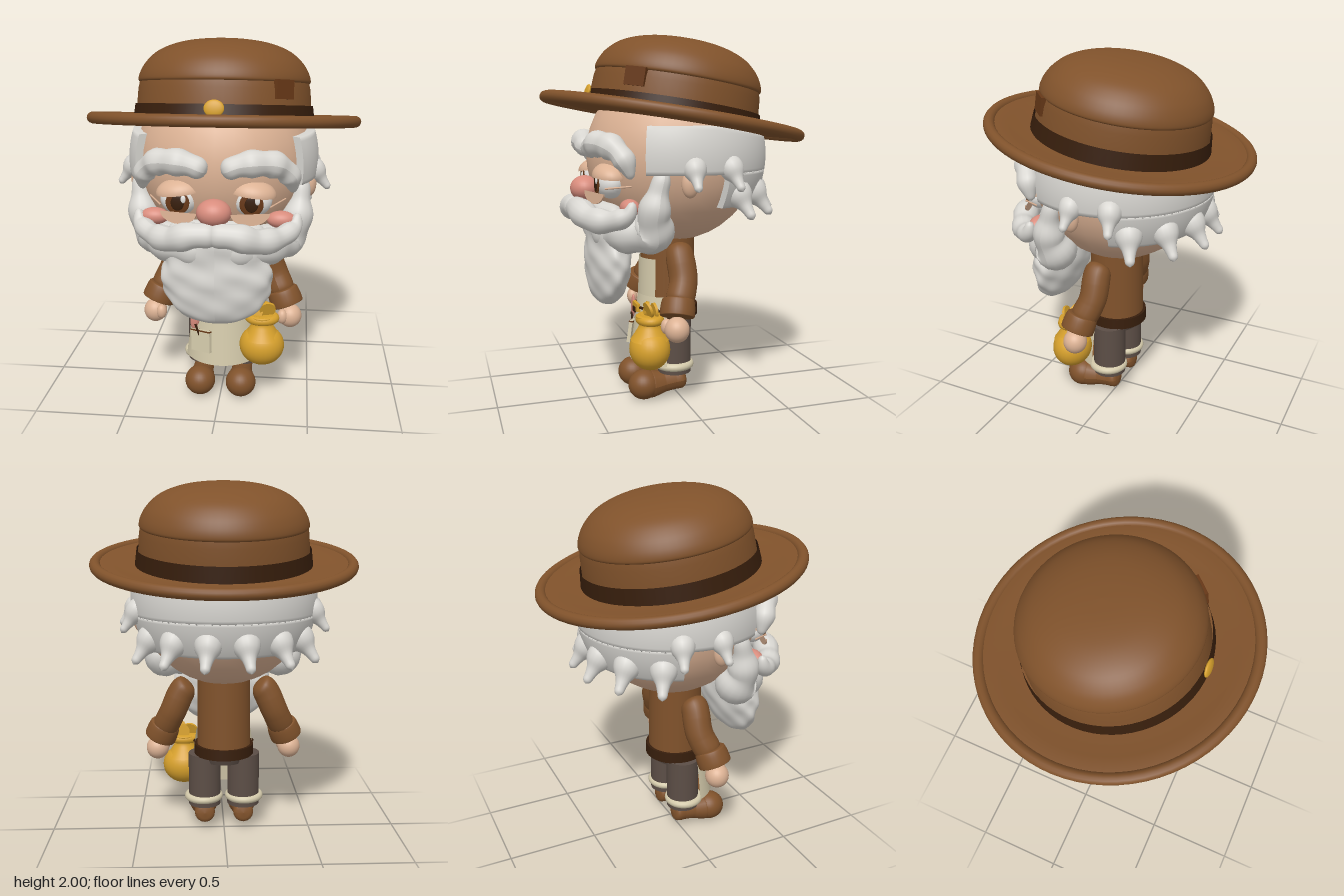
import * as THREE from 'three';

const mat = (name, color, side = THREE.FrontSide) => {
  const m = new THREE.MeshStandardMaterial({ color, side });
  m.name = name;
  return m;
};
const V = (x, y, z) => new THREE.Vector3(x, y, z);
const pts2 = (list) => list.map(([x, y]) => new THREE.Vector2(x, y));
const smooth2 = (list, n) => new THREE.SplineCurve(pts2(list)).getPoints(n);

export function createModel() {
  const brown = mat('leather brown', 0x80522b);
  const dark = mat('dark brown', 0x371e0c, THREE.DoubleSide);
  const skin = mat('skin', 0xdcb294);
  const hair = mat('hair white', 0xd8d6d1, THREE.DoubleSide);
  const pink = mat('blush pink', 0xd88c7d);
  const gold = mat('gold', 0xd6a02c);
  const cream = mat('apron cream', 0xd3c9aa, THREE.DoubleSide);
  const grey = mat('trouser grey', 0x5c4e46);
  const iris = mat('iris brown', 0x673817);
  const white = mat('eye white', 0xf0eeea);

  const root = new THREE.Group();
  const add = (name, geo, m, pos = [0, 0, 0], parent = root) => {
    const mesh = new THREE.Mesh(geo, m);
    mesh.name = name;
    mesh.position.set(...pos);
    parent.add(mesh);
    return mesh;
  };
  const ball = (name, m, pos, size, parent) => {
    const b = add(name, new THREE.SphereGeometry(1, 28, 20), m, pos, parent);
    b.scale.set(...size);
    return b;
  };
  // Tube whose radius follows a list, with rounded ends and soft lumps
  const lumpyTube = (points, radii, lumps = 0, amount = 0.1) => {
    const curve = new THREE.CatmullRomCurve3(points.map((p) => V(...p)));
    const N = 64, R = 16;
    const geo = new THREE.TubeGeometry(curve, N, 1, R);
    const pos = geo.attributes.position, v = V(0, 0, 0);
    for (let k = 0; k < pos.count; k++) {
      const t = Math.floor(k / (R + 1)) / N;
      const c = curve.getPointAt(t);
      const f = t * (radii.length - 1), i = Math.min(Math.floor(f), radii.length - 2);
      const end = Math.sqrt(Math.max(0, 1 - Math.pow(Math.abs(2 * t - 1), 10)));
      const r = THREE.MathUtils.lerp(radii[i], radii[i + 1], f - i) * end
        * (1 + amount * Math.sin(lumps * Math.PI * 2 * t));
      v.fromBufferAttribute(pos, k).sub(c).multiplyScalar(r).add(c);
      pos.setXYZ(k, v.x, v.y, v.z);
    }
    geo.computeVertexNormals();
    return geo;
  };

  // Hat, tipped back, with a slightly dished brim
  const hat = new THREE.Group();
  hat.name = 'hat';
  hat.position.set(0, 1.565, 0);
  hat.rotation.x = -0.16;
  root.add(hat);
  add('hatBrim', new THREE.LatheGeometry(pts2([[0, -0.028], [0.46, -0.028], [0.6, -0.02], [0.7, -0.012],
    [0.7, 0.016], [0.6, 0.0], [0.46, -0.008], [0, -0.008]]), 72), brown, [0, 0, 0], hat);
  add('hatRim', new THREE.TorusGeometry(0.704, 0.03, 14, 72).rotateX(Math.PI / 2), brown, [0, 0, 0], hat);
  add('hatCrown', new THREE.LatheGeometry(pts2([[0.474, -0.015], [0.468, 0.08], [0.462, 0.16], [0.453, 0.2]]), 64), brown, [0, 0, 0], hat);
  add('hatDome', new THREE.LatheGeometry(smooth2([[0.45, 0.19], [0.462, 0.205], [0.45, 0.25], [0.415, 0.305], [0.35, 0.36],
    [0.25, 0.4], [0.13, 0.42], [0, 0.426]], 32), 64), brown, [0, 0, 0], hat);
  add('hatBand', new THREE.CylinderGeometry(0.478, 0.49, 0.09, 64, 1, true), dark, [0, 0.033, 0], hat);
  ball('hatBadge', gold, [0, 0.057, 0.492], [0.05, 0.042, 0.014], hat).rotation.x = -0.1;
  add('hatPatch', new THREE.BoxGeometry(0.115, 0.095, 0.035), iris, [0.324, 0.155, 0.324], hat).rotation.y = Math.PI / 4;

  // Head
  ball('head', skin, [0, 1.36, 0], [0.48, 0.48, 0.48]);
  ball('nose', pink, [0, 1.185, 0.5], [0.088, 0.07, 0.078]);

  // Hair bands wrapped round the head, trimmed under the hat brim, closed at both ends
  const hairBand = (name, y0, y1, phi) => {
    const r = (y, q) => Math.sqrt(q * q - (y - 1.36) ** 2);
    const prof = [[r(y0, 0.44), y0]];
    for (let i = 0; i <= 12; i++) {
      const y = y0 + ((y1 - y0) * i) / 12;
      prof.push([r(y, 0.518), y]);
    }
    prof.push([r(y1, 0.44), y1]);
    const geo = new THREE.LatheGeometry(pts2(prof), 56, phi, 2 * (Math.PI - phi));
    const p = geo.attributes.position;
    for (let k = 0; k < p.count; k++) p.setY(k, Math.min(p.getY(k), 1.535 + 0.161 * p.getZ(k)));
    geo.computeVertexNormals();
    add(name, geo, hair);
    for (const a of [phi, -phi])
      add(name + 'End', new THREE.ShapeGeometry(new THREE.Shape(pts2(prof))), hair).rotation.y = a - Math.PI / 2;
  };
  hairBand('sideHair', 1.28, 1.525, 1.0);
  hairBand('backHair', 1.1, 1.285, 1.87);

  // Curled locks hanging off the hair edge
  const lockGeo = new THREE.LatheGeometry(smooth2([[0, -0.07], [0.045, -0.05], [0.066, 0], [0.06, 0.045],
    [0.036, 0.085], [0.026, 0.12], [0.02, 0.15], [0, 0.165]], 28), 18);
  const lock = (deg, r, y, out, size) => {
    const a = THREE.MathUtils.degToRad(deg), s = Math.sin(a), c = Math.cos(a);
    const m = add('hairLock', lockGeo, hair, [s * r, y, c * r]);
    m.quaternion.setFromUnitVectors(V(0, 1, 0), V(s * out, -1, c * out).normalize());
    m.scale.setScalar(size);
  };
  for (const d of [12, 36, 60]) for (const s of [1, -1]) lock(180 + s * d, 0.45, 1.185, 0.8, 1.1);
  for (const s of [1, -1]) {
    lock(s * 85, 0.49, 1.32, 0.8, 0.9);
    lock(s * 109, 0.49, 1.32, 0.8, 0.95);
  }

  // Beard
  const beard = new THREE.LatheGeometry(smooth2([[0, 0.545], [0.1, 0.555], [0.185, 0.59], [0.245, 0.65], [0.285, 0.74], [0.295, 0.82],
    [0.27, 0.9], [0.28, 1.0], [0.2, 1.1], [0, 1.12]], 48), 64);
  const bp = beard.attributes.position;
  for (let k = 0; k < bp.count; k++) {
    const x = bp.getX(k), y = bp.getY(k), z = bp.getZ(k), a = Math.atan2(x, z);
    const f = 1 + 0.035 * Math.cos(a * 6 + y * 9) * Math.sin(y * 42);
    bp.setXYZ(k, x * f, y, z * f * 0.39 + 0.38 + 0.09 * Math.max(0, 0.75 - y));
  }
  beard.computeVertexNormals();
  add('beard', beard, hair);

  for (const s of [1, -1]) {
    const P = (list) => list.map(([x, y, z]) => [s * x, y, z]);
    // Jaw whiskers, moustache and brows
    add('jawWhiskers', lumpyTube(P([[0.43, 1.31, 0.18], [0.425, 1.2, 0.21], [0.405, 1.08, 0.23], [0.355, 0.99, 0.22], [0.27, 0.97, 0.32], [0.14, 0.96, 0.38], [0, 0.96, 0.39]]),
      [0.04, 0.06, 0.09, 0.112, 0.1, 0.1, 0.1], 5, 0.08), hair);
    add('moustache', lumpyTube(P([[-0.03, 1.08, 0.54], [0.1, 1.08, 0.55], [0.22, 1.045, 0.51], [0.33, 1.045, 0.43], [0.4, 1.085, 0.36], [0.415, 1.15, 0.34]]),
      [0.06, 0.068, 0.068, 0.062, 0.05, 0.03], 4, 0.07), hair);
    add('eyebrow', lumpyTube(P([[0.035, 1.385, 0.48], [0.12, 1.42, 0.475], [0.22, 1.43, 0.455], [0.31, 1.41, 0.41], [0.37, 1.35, 0.37], [0.39, 1.26, 0.34]]),
      [0.05, 0.063, 0.068, 0.065, 0.055, 0.03], 4, 0.08), hair);
    ball('ear', skin, [s * 0.475, 1.235, 0.06], [0.035, 0.07, 0.045]);
    ball('cheek', pink, [s * 0.33, 1.11, 0.335], [0.075, 0.045, 0.05]);

    // Eye: ball, layered iris, pupil and glint, heavy upper lid
    ball('eyeball', white, [s * 0.185, 1.23, 0.4], [0.1, 0.085, 0.075]);
    const disc = (name, m, x, y, z, rx, ry) => ball(name, m, [s * 0.185 + x, y, z], [rx, ry, 0.006]);
    disc('iris', iris, 0, 1.225, 0.474, 0.06, 0.06);
    disc('pupil', dark, 0, 1.225, 0.478, 0.034, 0.04);
    disc('eyeGlint', white, 0.03, 1.245, 0.482, 0.013, 0.02);
    const lid = add('eyelid', new THREE.SphereGeometry(1, 28, 14, 0, Math.PI * 2, 0, Math.PI / 2), skin, [s * 0.185, 1.262, 0.4]);
    lid.scale.set(0.122, 0.073, 0.095);
    lid.rotation.z = -s * 0.12;

    // Half-moon spectacles
    const lens = add('spectacleLens', new THREE.CylinderGeometry(0.1, 0.1, 0.008, 28, 1, false, Math.PI / 2, Math.PI).rotateX(-Math.PI / 2),
      skin, [s * 0.18, 1.18, 0.485]);
    lens.scale.y = 0.6;
    lens.rotation.set(-0.1, s * 0.3, 0);
    const temple = new THREE.LineCurve3(V(s * 0.275, 1.205, 0.45), V(s * 0.35, 1.22, 0.33));
    add('spectacleTemple', new THREE.TubeGeometry(temple, 1, 0.005, 6), skin);

    // Bent sleeve, turned cuff and hand
    add('sleeve', lumpyTube(P([[0.195, 0.87, 0.03], [0.235, 0.83, 0.035], [0.295, 0.7, 0.035], [0.35, 0.58, 0.08]]),
      [0.075, 0.078, 0.076, 0.08]), brown);
    const cuff = add('sleeveCuff', new THREE.LatheGeometry(smooth2([[0, -0.05], [0.08, -0.05], [0.093, -0.035], [0.088, 0.03], [0.072, 0.045], [0, 0.045]], 30), 28),
      brown, [s * 0.355, 0.575, 0.085]);
    cuff.quaternion.setFromUnitVectors(V(0, -1, 0), V(s * 0.36, -0.9, 0.2).normalize());
    ball('hand', skin, [s * 0.388, 0.465, 0.1], [0.066, 0.068, 0.066]);
    ball('thumb', skin, [s * 0.345, 0.475, 0.145], [0.03, 0.042, 0.03]);

    // Trouser leg, rolled hem and shoe
    add('trouserLeg', new THREE.CylinderGeometry(0.093, 0.093, 0.31, 28), grey, [s * 0.113, 0.3, 0.025]);
    add('trouserHem', new THREE.TorusGeometry(0.09, 0.022, 12, 32).rotateX(Math.PI / 2), cream, [s * 0.118, 0.19, 0.03]);
    ball('shoeToe', brown, [s * 0.117, 0.083, 0.205], [0.086, 0.083, 0.088]);
    add('shoeHeel', lumpyTube(P([[0.116, 0.08, 0.22], [0.115, 0.082, 0.14], [0.113, 0.09, 0.06], [0.113, 0.1, -0.04]]),
      [0.08, 0.076, 0.06, 0.058, 0.064]), brown);
  }

  // Coat and belt
  add('coat', new THREE.CylinderGeometry(0.15, 0.155, 0.46, 40), brown, [0, 0.7, 0.03]);
  add('belt', new THREE.CylinderGeometry(0.17, 0.172, 0.06, 40), dark, [0, 0.483, 0.03]);
  add('hips', new THREE.CylinderGeometry(0.14, 0.12, 0.05, 32), grey, [0, 0.435, 0.03]);

  // Apron with bib, ties, buckle and pocket
  add('apronSkirt', new THREE.CylinderGeometry(0.168, 0.218, 0.38, 32, 1, true, -1.25, 2.5), cream, [0, 0.39, 0.03]);
  add('apronBib', new THREE.CylinderGeometry(0.162, 0.168, 0.22, 24, 1, true, -0.85, 1.7), cream, [0, 0.68, 0.03]);
  add('apronTie', new THREE.TorusGeometry(0.181, 0.008, 8, 36, 2.5).rotateX(Math.PI / 2).rotateY(-Math.PI / 2 + 1.25), dark, [0, 0.506, 0.03]);
  add('buckle', new THREE.BoxGeometry(0.095, 0.045, 0.02), gold, [0, 0.503, 0.215]);
  add('buckleCentre', new THREE.BoxGeometry(0.045, 0.03, 0.008), dark, [0, 0.488, 0.226]);
  const pocket = new THREE.Group();
  pocket.name = 'pocket';
  pocket.position.set(-0.108, 0.335, 0.21);
  pocket.rotation.set(-0.13, -0.53, 0.04);
  root.add(pocket);
  add('pocketPanel', new THREE.BoxGeometry(0.13, 0.125, 0.02), cream, [0, 0, 0], pocket);
  add('pocketTrim', new THREE.BoxGeometry(0.132, 0.008, 0.024), iris, [0, 0.058, 0], pocket);
  const quill = ball('quillFeather', pink, [-0.143, 0.47, 0.195], [0.027, 0.07, 0.012]);
  quill.rotation.z = -0.15;
  add('quillShaft', new THREE.CylinderGeometry(0.007, 0.005, 0.08, 8), dark, [-0.13, 0.395, 0.205]).rotation.z = 0.3;

  // Coin pouch
  const pouch = new THREE.Group();
  pouch.name = 'coinPouch';
  pouch.position.set(0.235, 0.21, 0.205);
  root.add(pouch);
  ball('pouchBag', gold, [0, 0.117, 0], [0.126, 0.115, 0.11], pouch);
  add('pouchNeck', new THREE.LatheGeometry(smooth2([[0.105, 0.17], [0.072, 0.22], [0.055, 0.26], [0.075, 0.3], [0.04, 0.305], [0, 0.3]], 24), 32),
    gold, [0, 0, 0], pouch);
  const ring = add('pouchCord', new THREE.TorusGeometry(0.064, 0.025, 12, 32).rotateX(Math.PI / 2), gold, [0, 0.282, 0], pouch);
  ring.scale.set(1.08, 1, 0.85);
  for (const [x, y, z, t] of [[-0.038, 0.325, 0.01, -0.3], [0.03, 0.34, 0.015, 0.3], [0.01, 0.325, -0.025, 0.1]]) {
    const coin = add('coin', new THREE.CylinderGeometry(0.045, 0.045, 0.014, 24).rotateX(Math.PI / 2), gold, [x, y, z], pouch);
    coin.rotation.set(t, t * 0.5, 0);
  }
  return root;
}
